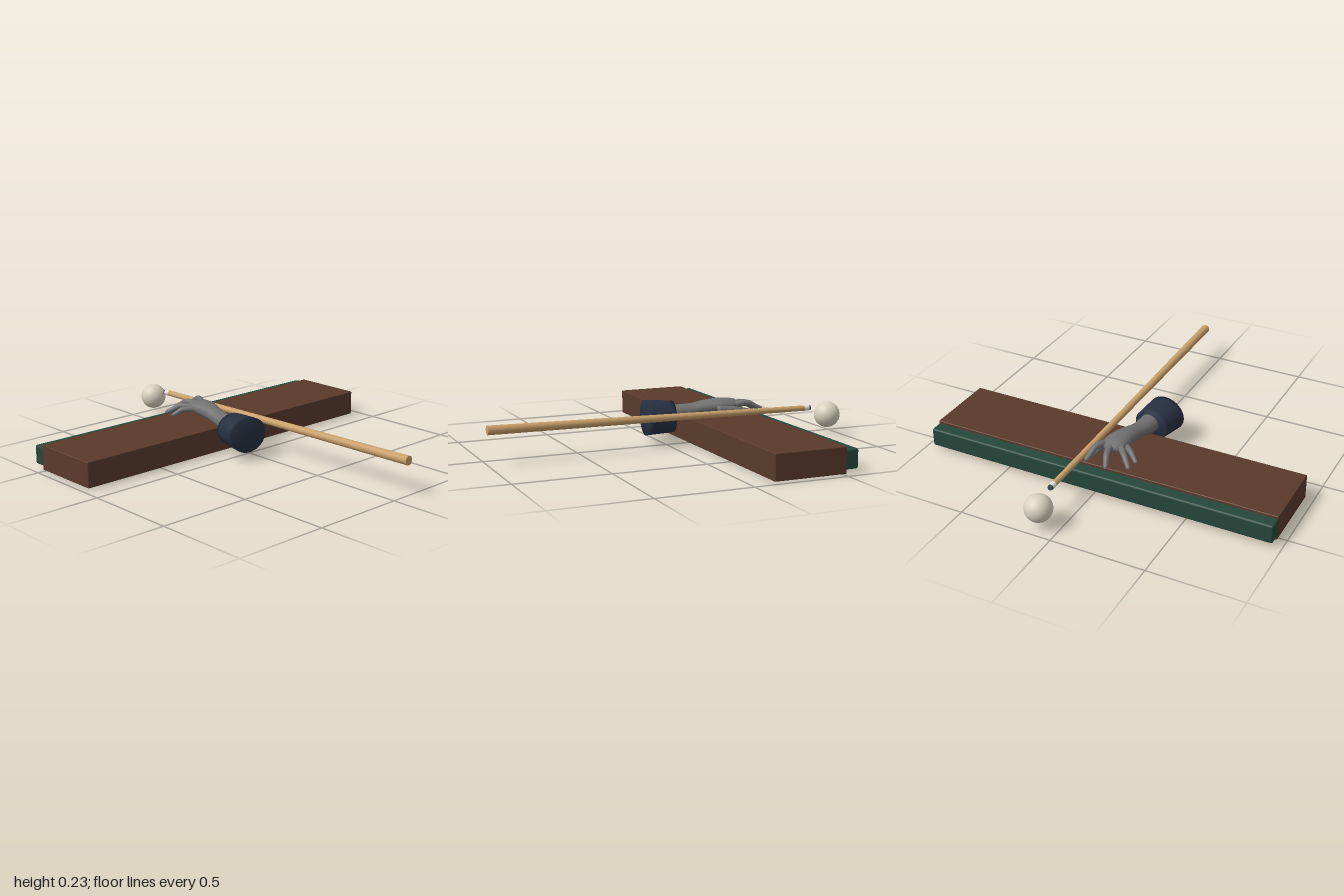
import * as THREE from 'three';
import { RoundedBoxGeometry } from 'three/addons/geometries/RoundedBoxGeometry.js';

const mat = (name, color) => {
  const m = new THREE.MeshStandardMaterial({ color });
  m.name = name;
  return m;
};

// Smooth closed sweep through elliptical sections [x, y, z, sideRadius, upRadius]
function sweep(sections, rings, sides) {
  const path = new THREE.CatmullRomCurve3(sections.map(s => new THREE.Vector3(s[0], s[1], s[2])));
  const radii = new THREE.CatmullRomCurve3(sections.map(s => new THREE.Vector3(s[3], s[4], 0)));
  const pos = [], idx = [], up = new THREE.Vector3(0, 1, 0);
  for (let i = 0; i <= rings; i++) {
    const u = i / rings, c = path.getPoint(u), r = radii.getPoint(u), t = path.getTangent(u);
    const side = new THREE.Vector3().crossVectors(t, up).normalize();
    const top = new THREE.Vector3().crossVectors(side, t);
    for (let j = 0; j < sides; j++) {
      const a = j / sides * Math.PI * 2;
      const p = c.clone().addScaledVector(side, Math.cos(a) * r.x).addScaledVector(top, Math.sin(a) * r.y);
      pos.push(p.x, p.y, p.z);
      if (i < rings) {
        const k = i * sides, n = (j + 1) % sides;
        idx.push(k + j, k + sides + j, k + n, k + n, k + sides + j, k + sides + n);
      }
    }
  }
  // End caps
  const a = path.getPoint(0), b = path.getPoint(1), ca = pos.length / 3, last = rings * sides;
  pos.push(a.x, a.y, a.z, b.x, b.y, b.z);
  for (let j = 0; j < sides; j++) {
    const n = (j + 1) % sides;
    idx.push(ca, j, n, ca + 1, last + n, last + j);
  }
  const g = new THREE.BufferGeometry();
  g.setAttribute('position', new THREE.Float32BufferAttribute(pos, 3));
  g.setIndex(idx);
  g.computeVertexNormals();
  return g;
}

export function createModel() {
  const model = new THREE.Group();
  const wood = mat('rail wood', 0x5a3a2b), cloth = mat('green cloth', 0x26483c);
  const cueWood = mat('cue maple', 0xc89f69), ivory = mat('ivory', 0xd9d1bd);
  const white = mat('ferrule white', 0xe8e4da), chalk = mat('tip grey', 0x3c4a55);
  const glove = mat('glove grey', 0x707070), navy = mat('sleeve navy', 0x273041);

  const add = (parent, name, geometry, material, x = 0, y = 0, z = 0) => {
    const m = new THREE.Mesh(geometry, material);
    m.name = name;
    m.position.set(x, y, z);
    parent.add(m);
    return m;
  };

  // Table rail with its cushion on the far side
  add(model, 'rail', new RoundedBoxGeometry(1.91, 0.135, 0.39, 2, 0.005), wood, 0, 0.0675, -0.325);
  add(model, 'cushion', new RoundedBoxGeometry(1.91, 0.1, 0.075, 2, 0.01), cloth, 0, 0.07, -0.5475);

  // Ball
  add(model, 'ball', new THREE.SphereGeometry(0.071, 32, 20), ivory, 0.1, 0.11, -0.929);

  // Cue: butt at the front, tapering to the ferrule and tip
  const cue = new THREE.Group();
  cue.name = 'cue';
  cue.position.set(0.1, 0.178, 1);
  cue.rotation.x = -(Math.PI / 2 + 0.0126);
  model.add(cue);
  const cuePart = (name, from, to, r0, r1, material) =>
    add(cue, name, new THREE.CylinderGeometry(r1, r0, to - from, 20), material, 0, (from + to) / 2, 0);
  cuePart('cueShaft', 0, 1.78, 0.024, 0.015, cueWood);
  cuePart('ferrule', 1.78, 1.81, 0.0155, 0.0155, white);
  cuePart('cueTip', 1.81, 1.82, 0.015, 0.013, chalk);

  // Bridge arm and hand
  const arm = new THREE.Group();
  arm.name = 'arm';
  model.add(arm);
  add(arm, 'sleeve', sweep([
    [-0.086, 0.137, 0.086, 0.108, 0.095],
    [-0.075, 0.137, 0.01, 0.102, 0.09],
    [-0.063, 0.136, -0.066, 0.094, 0.084],
  ], 6, 32), navy);
  add(arm, 'hand', sweep([
    [-0.06, 0.15, -0.03, 0.055, 0.05],
    [-0.06, 0.156, -0.1, 0.053, 0.044],
    [-0.05, 0.166, -0.18, 0.047, 0.038],
    [-0.037, 0.178, -0.25, 0.05, 0.041],
    [-0.024, 0.184, -0.32, 0.062, 0.042],
    [-0.02, 0.19, -0.385, 0.064, 0.033],
    [-0.022, 0.19, -0.43, 0.04, 0.016],
  ], 30, 24), glove);

  // Digits: root, knuckle and tip, then the root radius
  const digits = {
    littleFinger: [[-0.06, 0.182, -0.35], [-0.122, 0.18, -0.4], [-0.17, 0.148, -0.435], 0.017],
    ringFinger: [[-0.05, 0.188, -0.38], [-0.105, 0.188, -0.445], [-0.162, 0.149, -0.502], 0.018],
    middleFinger: [[-0.012, 0.192, -0.4], [-0.028, 0.19, -0.48], [-0.057, 0.15, -0.55], 0.019],
    indexFinger: [[0.02, 0.19, -0.39], [0.045, 0.2, -0.46], [0.06, 0.16, -0.545], 0.019],
    thumb: [[0.022, 0.172, -0.29], [0.05, 0.166, -0.39], [0.062, 0.152, -0.49], 0.022],
  };
  for (const [name, [root, knuckle, tip, r]] of Object.entries(digits)) {
    const mix = (a, b, t) => a.map((v, i) => v + (b[i] - v) * t);
    const at = (p, s) => [...p, r * s, r * s];
    add(arm, name, sweep([
      at(root, 1), at(knuckle, 0.88), at(mix(knuckle, tip, 0.5), 0.75),
      at(mix(knuckle, tip, 0.9), 0.6), at(tip, 0.15),
    ], 20, 14), glove);
  }
  return model;
}
